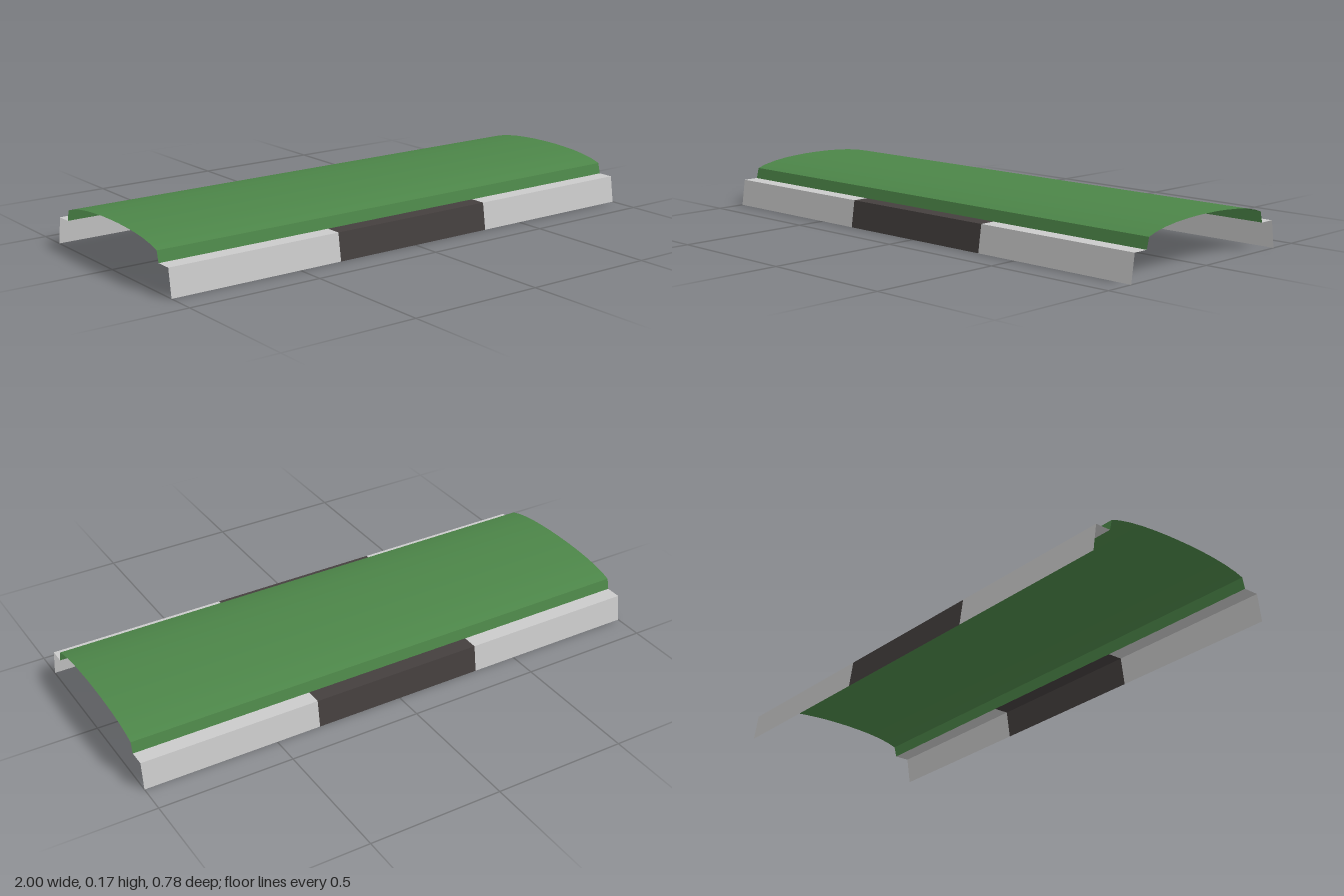
import * as THREE from 'three';

const material = (name, color) =>
  new THREE.MeshStandardMaterial({ name, color, side: THREE.DoubleSide });

// Thin sheet: a [z, y] profile, running from front to back, swept along x.
function sheet(name, profile, x0, x1, mat) {
  const positions = [], index = [];
  profile.forEach(([z, y], i) => {
    positions.push(x0, y, z, x1, y, z);
    if (i > 0) {
      const a = 2 * i - 2;
      index.push(a, a + 1, a + 3, a, a + 3, a + 2);
    }
  });
  const geometry = new THREE.BufferGeometry();
  geometry.setAttribute('position', new THREE.Float32BufferAttribute(positions, 3));
  geometry.setIndex(index);
  geometry.computeVertexNormals();
  const mesh = new THREE.Mesh(geometry, mat);
  mesh.name = name;
  return mesh;
}

export function createModel() {
  const green = material('green', 0x4c8548);
  const grey = material('lightGrey', 0xcacaca);
  const dark = material('charcoal', 0x443f3e);
  const model = new THREE.Group();
  model.name = 'curvedCover';

  // Shallow arched panel
  const half = [[0.305, 0.14], [0.27, 0.151], [0.22, 0.161], [0.165, 0.168], [0.11, 0.172], [0.055, 0.1745]];
  const arch = [...half, [0, 0.175], ...half.map(([z, y]) => [-z, y]).reverse()];
  model.add(sheet('archedPanel', arch, -1, 1, green));

  // Matching stepped edges, each with a dark middle section
  const sections = [
    ['right', -1, -0.33, grey],
    ['middle', -0.33, 0.33, dark],
    ['left', 0.33, 1, grey],
  ];
  for (const side of ['front', 'back']) {
    const edge = new THREE.Group();
    edge.name = side + 'Edge';
    edge.add(sheet('riser', [[0.315, 0.1], [0.305, 0.14]], -1, 1, green));
    for (const [label, x0, x1, mat] of sections) {
      edge.add(sheet(label + 'Skirt', [[0.39, 0], [0.375, 0.1]], x0, x1, mat));
      edge.add(sheet(label + 'Ledge', [[0.375, 0.1], [0.315, 0.1]], x0, x1, mat));
    }
    if (side === 'back') edge.rotation.y = Math.PI;
    model.add(edge);
  }
  return model;
}
